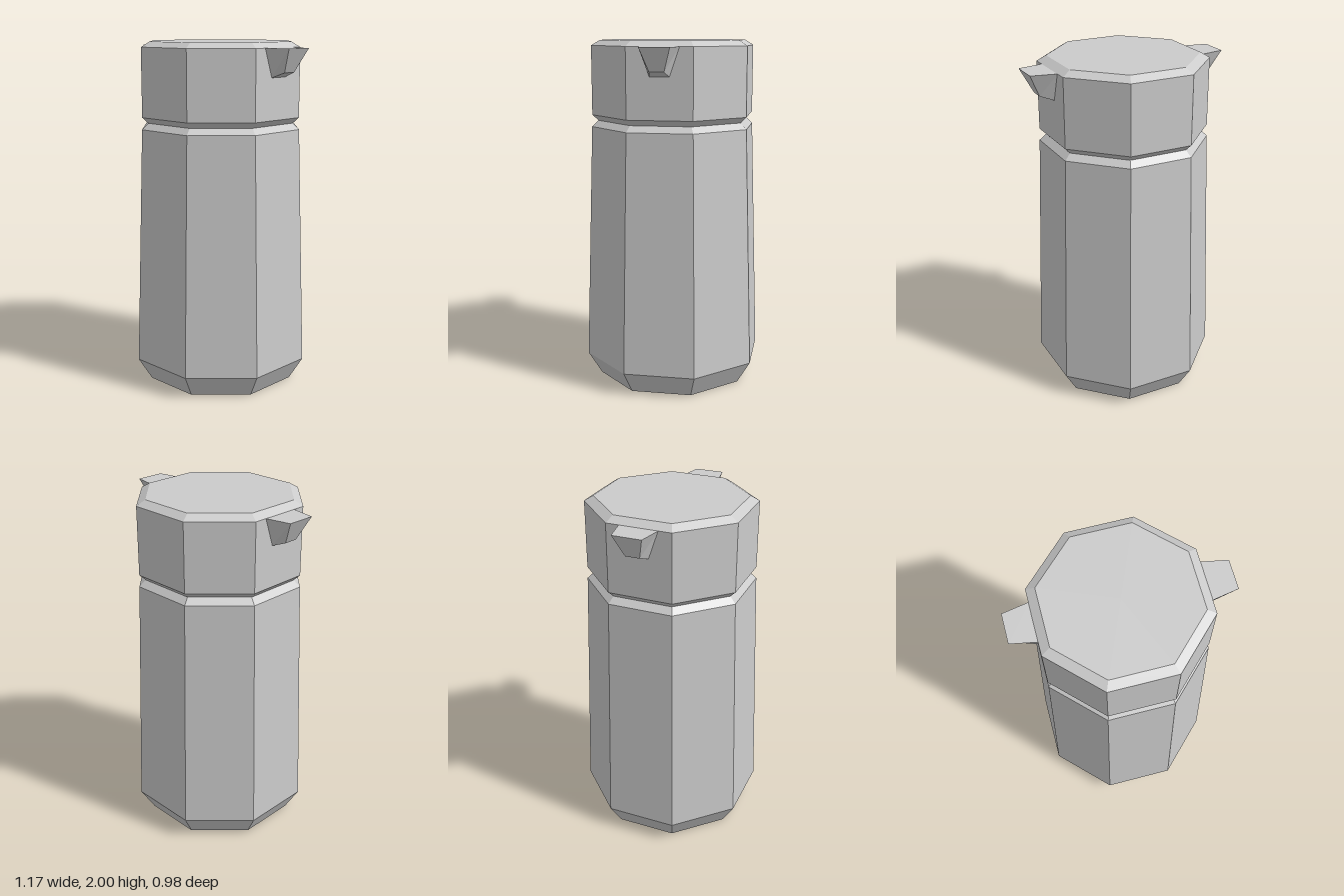
import * as THREE from 'three';

const material = new THREE.MeshStandardMaterial({ color: 0xcccccc, flatShading: true });

function flatMesh(name, geometry) {
  const flat = geometry.toNonIndexed();
  flat.computeVertexNormals();
  const mesh = new THREE.Mesh(flat, material);
  mesh.name = name;
  return mesh;
}

// Octagonal solid from [flat-to-centre distance, height] pairs, flats facing the axes
function octagon(name, profile) {
  const points = profile.map(([r, y]) => new THREE.Vector2(r / Math.cos(Math.PI / 8), y));
  return flatMesh(name, new THREE.LatheGeometry(points, 8, Math.PI / 8));
}

// Tapered wedge: a box whose corners are moved to a wall section and a smaller tip section
function spout(name, angle) {
  const geometry = new THREE.BoxGeometry(1, 1, 1);
  const p = geometry.attributes.position;
  for (let i = 0; i < p.count; i++) {
    const tip = p.getX(i) > 0;
    const top = p.getY(i) > 0;
    const x = tip ? (top ? 0.585 : 0.52) : 0.44;
    const y = top ? 1.97 : (tip ? 1.84 : 1.81);
    const halfWidth = top ? (tip ? 0.083 : 0.11) : (tip ? 0.04 : 0.055);
    p.setXYZ(i, x, y, Math.sign(p.getZ(i)) * halfWidth);
  }
  const mesh = flatMesh(name, geometry);
  mesh.rotation.y = angle;
  return mesh;
}

export function createModel() {
  const model = new THREE.Group();
  model.name = 'pitcher';

  // Tapering body with chamfered foot and shoulder
  model.add(octagon('body', [
    [0, 0], [0.415, 0], [0.49, 0.133], [0.445, 1.51], [0.41, 1.545], [0, 1.545],
  ]));

  // Lid, chamfered above and below, forming a groove with the body
  model.add(octagon('lid', [
    [0, 1.545], [0.41, 1.545], [0.443, 1.578], [0.443, 1.97], [0.395, 2], [0, 2],
  ]));

  // Spouts on both sides of the lid
  model.add(spout('leftSpout', 0), spout('rightSpout', Math.PI));
  return model;
}
